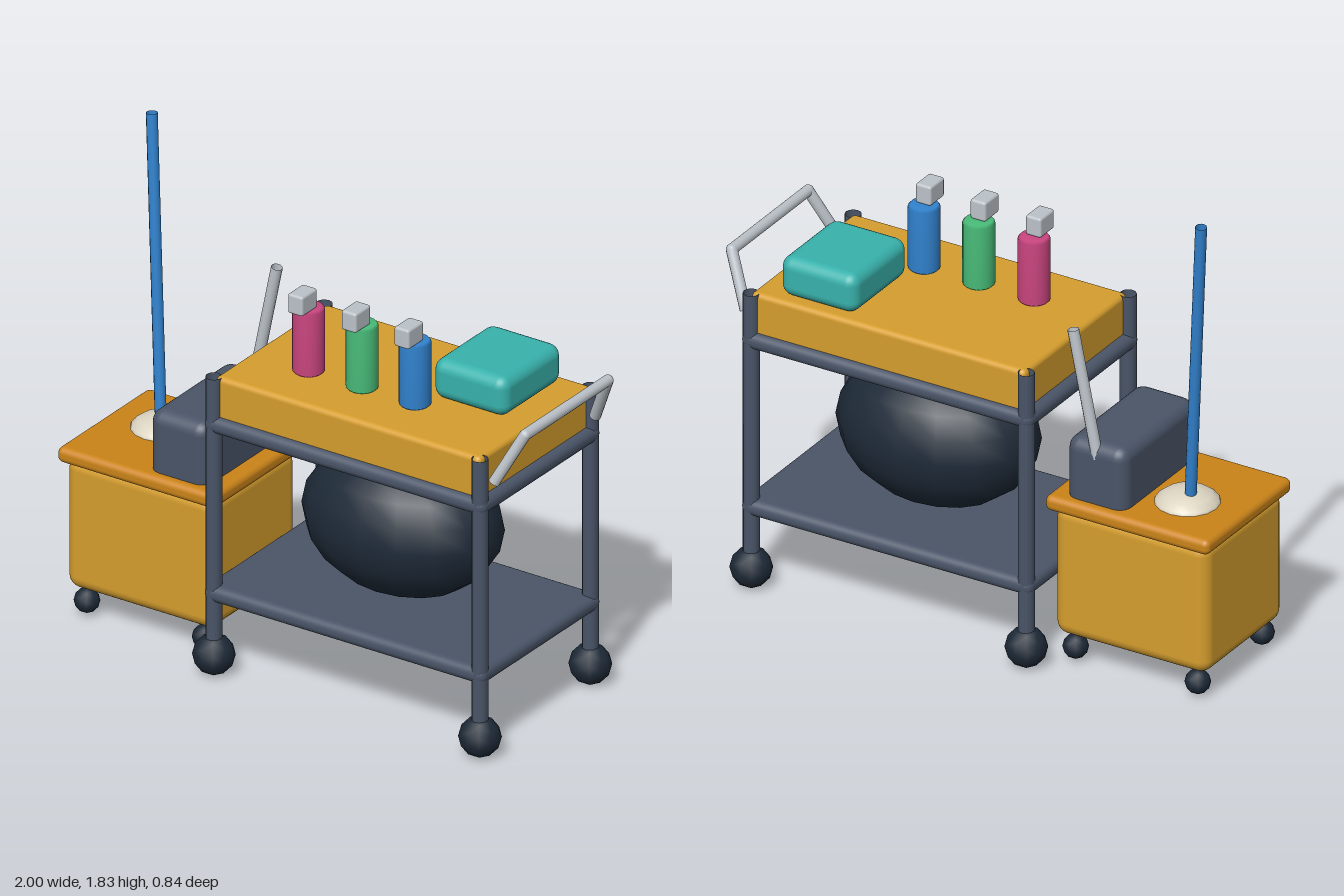
import * as THREE from 'three';
import { RoundedBoxGeometry } from 'three/addons/geometries/RoundedBoxGeometry.js';

function material(name, color, side = THREE.FrontSide) {
  const m = new THREE.MeshStandardMaterial({ color, side });
  m.name = name;
  return m;
}

export function createModel() {
  const root = new THREE.Group();
  root.name = 'cleaningCart';

  const steel = material('slateSteel', 0x4a5568, THREE.DoubleSide);
  const yellow = material('yellowPlastic', 0xd69e2e);
  const orange = material('orangeLid', 0xcb8419);
  const dark = material('darkRubber', 0x1e2a38);
  const metal = material('paleMetal', 0xbcc3c9, THREE.DoubleSide);
  const teal = material('tealCloth', 0x38b2ac);
  const pink = material('pinkBottle', 0xc9457f);
  const green = material('greenBottle', 0x48bb78);
  const blue = material('bluePlastic', 0x3182ce, THREE.DoubleSide);
  const cream = material('creamMop', 0xddd5c2);

  function add(name, geometry, mat, x = 0, y = 0, z = 0, parent = root) {
    const mesh = new THREE.Mesh(geometry, mat);
    mesh.name = name;
    mesh.position.set(x, y, z);
    parent.add(mesh);
    return mesh;
  }

  // Rounded box given by its lower and upper limits on each axis
  function box(name, mat, [x0, x1], [y0, y1], [z0, z1], radius, parent = root) {
    const geometry = new RoundedBoxGeometry(x1 - x0, y1 - y0, z1 - z0, 3, radius);
    return add(name, geometry, mat, (x0 + x1) / 2, (y0 + y1) / 2, (z0 + z1) / 2, parent);
  }

  // Open tube between two points
  function rod(name, mat, from, to, radius, parent = root) {
    const a = new THREE.Vector3(...from);
    const b = new THREE.Vector3(...to);
    const dir = b.clone().sub(a);
    const geometry = new THREE.CylinderGeometry(radius, radius, dir.length(), 12, 1, true);
    const mesh = add(name, geometry, mat, 0, 0, 0, parent);
    mesh.position.copy(a).add(b).multiplyScalar(0.5);
    mesh.quaternion.setFromUnitVectors(new THREE.Vector3(0, 1, 0), dir.normalize());
    return mesh;
  }

  // Cart posts and casters
  for (const x of [-0.288, 0.845]) {
    for (const z of [-0.343, 0.343]) {
      rod('post', steel, [x, 0.08, z], [x, 1.17, z], 0.03);
      add('caster', new THREE.IcosahedronGeometry(0.077, 1), dark, x, 0.077, z);
    }
  }

  // Shelves and top tray
  box('lowerShelf', steel, [-0.32, 0.877], [0.288, 0.353], [-0.373, 0.373], 0.03);
  box('upperShelf', steel, [-0.32, 0.877], [0.953, 1.018], [-0.373, 0.373], 0.03);
  box('topTray', yellow, [-0.283, 0.847], [1.0, 1.172], [-0.347, 0.347], 0.02);

  // Bag hanging between the shelves
  const bag = add('rubbishBag', new THREE.SphereGeometry(1, 16, 10), dark, 0.283, 0.641, 0);
  bag.scale.set(0.388, 0.284, 0.286);

  // Push handle
  const handle = new THREE.Group();
  handle.name = 'pushHandle';
  root.add(handle);
  for (const s of [-1, 1]) {
    rod('handleArm', metal, [0.885, 1.075, s * 0.315], [0.978, 1.265, s * 0.257], 0.021, handle);
    add('handleElbow', new THREE.SphereGeometry(0.021, 12, 8), metal, 0.978, 1.265, s * 0.257, handle);
  }
  rod('handleGrip', metal, [0.978, 1.265, -0.257], [0.978, 1.265, 0.257], 0.021, handle);

  // Spray bottles
  const bottleProfile = [[0, 0], [0.05, 0], [0.058, 0.008], [0.058, 0.247], [0.05, 0.257], [0, 0.257]]
    .map(([r, y]) => new THREE.Vector2(r, y));
  const bottles = [[-0.033, pink], [0.195, green], [0.42, blue]];
  for (const [x, mat] of bottles) {
    const bottle = new THREE.Group();
    bottle.name = 'sprayBottle';
    root.add(bottle);
    add('bottleBody', new THREE.LatheGeometry(bottleProfile, 18), mat, x, 1.172, 0.126, bottle);
    box('nozzle', metal, [x - 0.032, x + 0.032], [1.428, 1.505], [0.117, 0.213], 0.01, bottle);
  }

  // Folded cloths
  box('foldedCloths', teal, [0.437, 0.752], [1.17, 1.325], [-0.315, 0.055], 0.045);

  // Mop bucket with lid and casters
  box('bucketBody', yellow, [-0.98, -0.347], [0.107, 0.625], [-0.265, 0.265], 0.05);
  box('bucketLid', orange, [-1.0, -0.325], [0.603, 0.663], [-0.287, 0.287], 0.024);
  for (const x of [-0.916, -0.413]) {
    for (const z of [-0.215, 0.215]) {
      add('bucketCaster', new THREE.IcosahedronGeometry(0.047, 1), dark, x, 0.056, z);
    }
  }

  // Wringer and its lever
  box('wringer', steel, [-0.635, -0.387], [0.62, 0.9], [-0.25, 0.25], 0.05);
  rod('wringerLever', metal, [-0.512, 0.84, -0.23], [-0.412, 1.325, -0.23], 0.021);

  // Mop
  const mopHead = add('mopHead', new THREE.SphereGeometry(1, 16, 8), cream, -0.777, 0.65, -0.057);
  mopHead.scale.set(0.123, 0.062, 0.123);
  rod('mopPole', blue, [-0.797, 0.66, -0.071], [-0.89, 1.83, -0.15], 0.021);

  return root;
}
